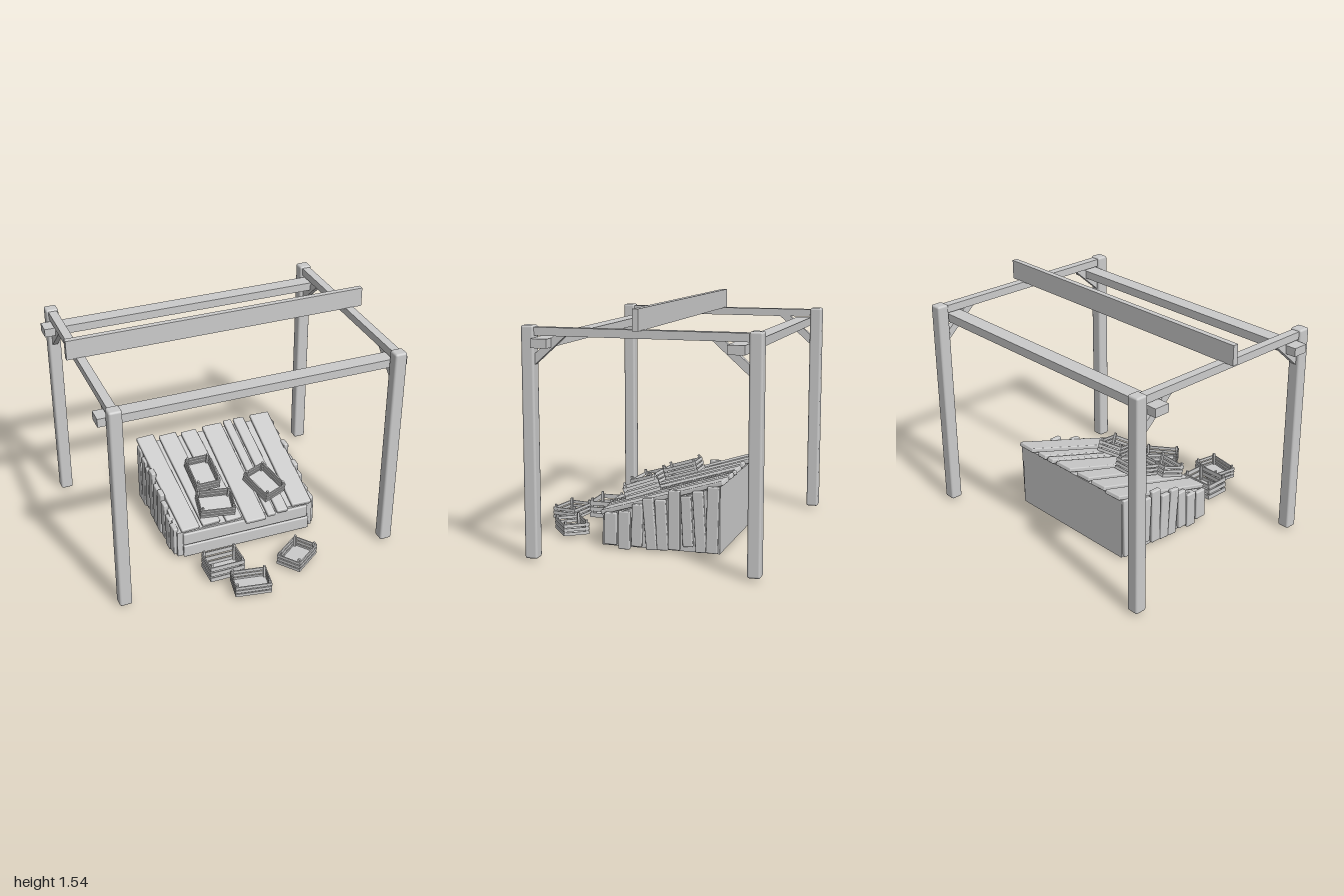
import * as THREE from 'three';
import { RoundedBoxGeometry } from 'three/addons/geometries/RoundedBoxGeometry.js';

const mat = new THREE.MeshStandardMaterial({ color: 0xcccccc });

function add(parent, name, geometry, x, y, z) {
  const mesh = new THREE.Mesh(geometry, mat);
  mesh.name = name;
  mesh.position.set(x, y, z);
  parent.add(mesh);
  return mesh;
}
const box = (parent, name, w, h, d, x, y, z) =>
  add(parent, name, new THREE.BoxGeometry(w, h, d), x, y, z);
const plank = (parent, name, w, h, d, x, y, z, r = 0.008) =>
  add(parent, name, new RoundedBoxGeometry(w, h, d, 2, r), x, y, z);

// Open slatted crate standing on its local y = 0, long side along x
function crate(parent, x, y, z, yaw, tilt = 0, h = 0.08) {
  const W = 0.235, D = 0.17, t = 0.007;
  const holder = new THREE.Group();
  holder.name = 'crate';
  holder.position.set(x, y, z);
  holder.rotation.set(tilt, 0, 0);
  const c = new THREE.Group();
  c.rotation.y = yaw;
  holder.add(c);
  box(c, 'crateFloor', W - t, 0.008, D - t, 0, 0.004, 0);
  for (const s of [-1, 1]) {
    for (let i = 0; i < 3; i++) {
      const sy = h * (0.14 + i * 0.34), sh = h * 0.25;
      box(c, 'crateLongSlat', W, sh, t, 0, sy, s * (D - t) / 2);
      box(c, 'crateEndSlat', t, sh, D - 2 * t, s * (W - t) / 2, sy, 0);
    }
    for (const k of [-1, 1])
      box(c, 'cratePost', 0.014, h + 0.014, 0.014, s * (W / 2 - 0.014), (h + 0.014) / 2, k * (D / 2 - 0.014));
  }
  parent.add(holder);
}

// Diagonal brace between two points in the z-y plane
function brace(parent, x, z0, y0, z1, y1) {
  const m = box(parent, 'brace', 0.035, 0.048, Math.hypot(z1 - z0, y1 - y0), x, (y0 + y1) / 2, (z0 + z1) / 2);
  m.rotation.x = -Math.atan2(y1 - y0, z1 - z0);
}

export function createModel() {
  const model = new THREE.Group();
  model.name = 'marketStall';

  // Timber frame
  const frame = new THREE.Group();
  frame.name = 'frame';
  model.add(frame);
  for (const s of [-1, 1]) {
    const x = s * 0.912;
    for (const z of [0.573, -0.802])
      plank(frame, 'post', 0.082, 1.413, 0.08, x, 0.729, z, 0.014);
    box(frame, 'sideRail', 0.055, 0.05, 1.31, x, 1.4, -0.115);
    brace(frame, x, 0.355, 1.395, 0.56, 1.212);
    brace(frame, x, -0.56, 1.395, -0.785, 1.195);
  }
  box(frame, 'frontBeam', 2, 0.055, 0.102, 0, 1.335, 0.481);
  box(frame, 'backBeam', 2, 0.055, 0.102, 0, 1.335, -0.7);
  box(frame, 'ridgeBoard', 2, 0.128, 0.037, 0, 1.486, -0.114);

  // Wedge-shaped counter body
  const counter = new THREE.Group();
  counter.name = 'counter';
  model.add(counter);
  const side = new THREE.Shape([[0.27, 0.022], [0.27, 0.21], [-0.49, 0.444], [-0.49, 0.022]]
    .map(([z, y]) => new THREE.Vector2(z, y)));
  const body = add(counter, 'counterBody',
    new THREE.ExtrudeGeometry(side, { depth: 0.965, bevelEnabled: false }), 0.517, 0, 0);
  body.rotation.y = -Math.PI / 2;

  // Upright side planks: z centre, width, bottom, top, lean
  const uprights = [
    [0.216, 0.082, 0.03, 0.235, 0], [0.126, 0.075, 0.006, 0.25, 0],
    [0.041, 0.07, 0.03, 0.3, -0.03], [-0.042, 0.07, 0.015, 0.345, 0.08],
    [-0.118, 0.072, 0.02, 0.34, 0.05], [-0.2, 0.075, 0.028, 0.405, 0],
    [-0.282, 0.065, 0.055, 0.375, 0.05], [-0.362, 0.068, 0.025, 0.41, 0.06],
    [-0.445, 0.075, 0.026, 0.443, -0.02],
  ];
  for (const x of [0.521, -0.452])
    for (const [z, w, y0, y1, lean] of uprights)
      plank(counter, 'sidePlank', 0.034, y1 - y0, w, x, (y0 + y1) / 2, z).rotation.x = lean;

  // Front planks
  plank(counter, 'frontPlank', 0.89, 0.088, 0.03, 0.035, 0.153, 0.273).rotation.z = -0.005;
  plank(counter, 'frontPlank', 0.9, 0.088, 0.03, 0.04, 0.057, 0.273).rotation.z = -0.006;

  // Sloping top planks: back x, front x, width, back z, front z
  const slope = 0.299;
  const deckY = (z) => 0.328 - 0.3085 * z;
  const deck = [
    [-0.397, -0.36, 0.125, -0.52, 0.285], [-0.24, -0.212, 0.125, -0.5, 0.275],
    [-0.088, -0.056, 0.112, -0.49, 0.285], [0.09, 0.084, 0.142, -0.5, 0.335],
    [0.21, 0.202, 0.058, -0.51, 0.32], [0.295, 0.285, 0.078, -0.51, 0.31],
    [0.455, 0.433, 0.14, -0.51, 0.29],
  ];
  for (const [xb, xf, w, zb, zf] of deck) {
    const zc = (zb + zf) / 2;
    const m = plank(counter, 'topPlank', w, 0.03, (zf - zb) / Math.cos(slope), (xb + xf) / 2, deckY(zc) - 0.015, zc);
    m.rotation.set(slope, Math.atan2(xf - xb, zf - zb), 0);
  }

  // Crates on the counter and on the ground
  crate(model, -0.145, deckY(-0.08) + 0.01, -0.075, Math.PI / 2, slope);
  crate(model, -0.145, deckY(0.18) + 0.004, 0.165, -0.14, slope);
  crate(model, 0.235, deckY(0.1) + 0.004, 0.095, Math.PI / 2 + 0.34, slope);
  crate(model, -0.225, 0.022, 0.515, 0, 0, 0.12);
  crate(model, -0.12, 0.022, 0.73, -0.17);
  crate(model, 0.27, 0.022, 0.58, 0.64);
  return model;
}
